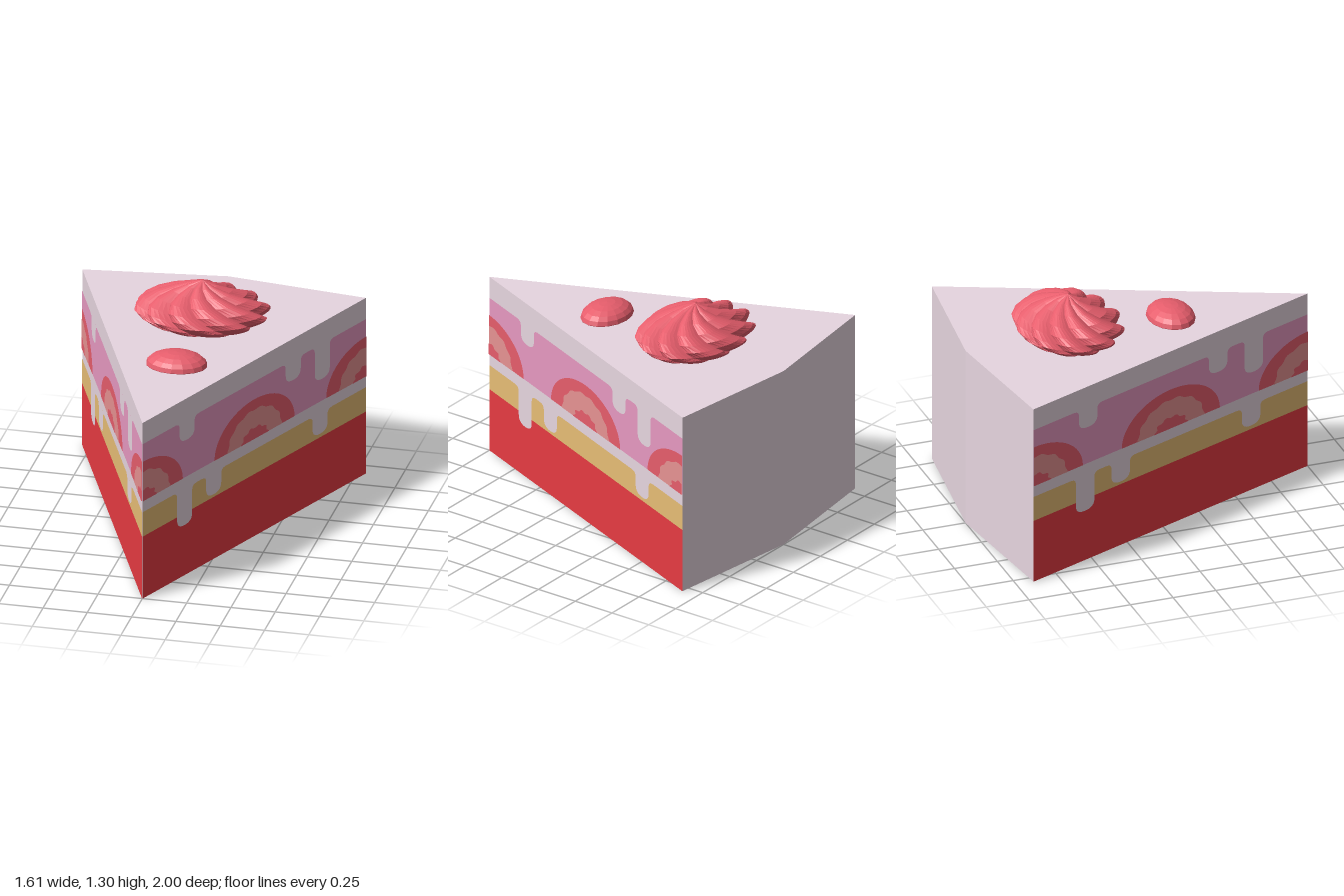
import * as THREE from 'three';

const mat = (name, color) => {
  const m = new THREE.MeshStandardMaterial({ color });
  m.name = name;
  return m;
};

export function createModel() {
  const cream = mat('cream', 0xffecf7);
  const pink = mat('pink filling', 0xffa9d5);
  const red = mat('red sponge', 0xff424a);
  const tan = mat('golden sponge', 0xfed082);
  const berry = mat('berry red', 0xff6878);
  const flesh = mat('berry flesh', 0xffa2a2);

  const cake = new THREE.Group();
  cake.name = 'cakeSlice';
  const add = (parent, name, geometry, material) => {
    const mesh = new THREE.Mesh(geometry, material);
    mesh.name = name;
    parent.add(mesh);
    return mesh;
  };

  // Wedge of cream with a shallow pointed back
  const top = 1.057;
  const plan = new THREE.Shape([[0, -1], [0.8, 0.9], [0, 1], [-0.8, 0.9]].map(p => new THREE.Vector2(...p)));
  const wedge = new THREE.ExtrudeGeometry(plan, { depth: top, bevelEnabled: false });
  wedge.rotateX(-Math.PI / 2);
  add(cake, 'creamBody', wedge, cream);

  // Cut faces: flat layers, width W, drawn left to right
  const W = 1.9;
  const band = (y0, y1) => new THREE.Shape([
    new THREE.Vector2(0, y0), new THREE.Vector2(W, y0), new THREE.Vector2(W, y1), new THREE.Vector2(0, y1)]);

  // Cream drip with flared root and rounded end
  const drip = (a, y, bottom) => {
    const b = a + 0.128, m = (a + b) / 2, f = 0.032, r = 0.05;
    const s = new THREE.Shape();
    s.moveTo(a - f, y + 0.004);
    s.lineTo(a - f, y);
    s.quadraticCurveTo(a, y, a, y - f);
    s.lineTo(a, bottom + r);
    s.quadraticCurveTo(a, bottom, m, bottom);
    s.quadraticCurveTo(b, bottom, b, bottom + r);
    s.lineTo(b, y - f);
    s.quadraticCurveTo(b, y, b + f, y);
    s.lineTo(b + f, y + 0.004);
    return s;
  };

  // Half-ellipse berry cut with an optional wavy rim, clipped at the face ends
  const arch = (cx, rx, ry, wave = 0, waves = 0) => {
    const pts = [];
    const from = cx >= W ? Math.PI / 2 : 0, to = cx <= 0 ? Math.PI / 2 : Math.PI;
    const n = 48;
    for (let i = 0; i <= n; i++) {
      const t = from + (to - from) * i / n;
      const k = 1 + wave * Math.cos(t * waves);
      pts.push(new THREE.Vector2(cx + rx * k * Math.cos(t), 0.588 + ry * k * Math.sin(t)));
    }
    if (to < Math.PI || from > 0) pts.push(new THREE.Vector2(cx, 0.588));
    return new THREE.Shape(pts);
  };

  const cutFace = (name, x, z, angle) => {
    const g = new THREE.Group();
    g.name = name;
    g.position.set(x, 0, z);
    g.rotation.y = angle;
    g.scale.x = Math.hypot(0.8, 1.9) / W;
    const layer = (part, shapes, material, level) => {
      add(g, part, new THREE.ShapeGeometry(shapes, 10), material).position.z = level * 0.0015;
    };
    layer('redSponge', band(0, 0.373), red, 1);
    layer('goldenSponge', band(0.373, 0.52), tan, 1);
    layer('pinkFilling', band(0.588, 0.93), pink, 1);
    layer('creamDrips', [
      drip(0.313, 0.93, 0.81), drip(1.215, 0.93, 0.81), drip(1.462, 0.93, 0.72),
      drip(0.292, 0.52, 0.303), drip(0.539, 0.52, 0.39), drip(1.443, 0.52, 0.395)], cream, 2);
    const centres = [0, W / 2, W];
    layer('berryRims', centres.map(c => arch(c, 0.34, 0.237)), berry, 2);
    layer('berryFlesh', centres.map(c => arch(c, 0.228, 0.177, 0.025, 14)), flesh, 3);
    layer('berryCores', centres.map(c => arch(c, 0.11, 0.07, 0.08, 10)), berry, 4);
    cake.add(g);
  };
  const slant = Math.atan2(1.9, 0.8);
  cutFace('leftCutFace', 0, 1, slant);
  cutFace('rightCutFace', -0.8, -0.9, -slant);

  // Faceted geometry
  const facet = geometry => {
    const g = geometry.toNonIndexed();
    g.computeVertexNormals();
    return g;
  };

  // Piped swirl: lathe profile with twisted lobes
  const profile = [[0.27, 1.045], [0.315, 1.07], [0.36, 1.1], [0.385, 1.13], [0.37, 1.155],
    [0.33, 1.183], [0.26, 1.213], [0.17, 1.243], [0.085, 1.272], [0, 1.3]];
  const swirl = new THREE.LatheGeometry(profile.map(p => new THREE.Vector2(...p)), 80);
  const pos = swirl.attributes.position;
  for (let i = 0; i < pos.count; i++) {
    const x = pos.getX(i), y = pos.getY(i), z = pos.getZ(i);
    const r = Math.hypot(x, z), a = Math.atan2(x, z);
    const dip = 1 - Math.abs(Math.sin(a * 5));
    const turn = a + 1.5 * (1.3 - y) / 0.25;
    const rr = r * (1 - 0.14 * dip);
    pos.setXYZ(i, rr * Math.sin(turn), y - 0.05 * dip * r, rr * Math.cos(turn) * 0.78);
  }
  add(cake, 'pipedSwirl', facet(swirl), berry).position.z = -0.4;

  // Small berry drop near the tip
  const drop = new THREE.SphereGeometry(1, 16, 10);
  drop.scale(0.172, 0.075, 0.132);
  add(cake, 'berryDrop', facet(drop), berry).position.set(0, 1.06, 0.2);

  return cake;
}
